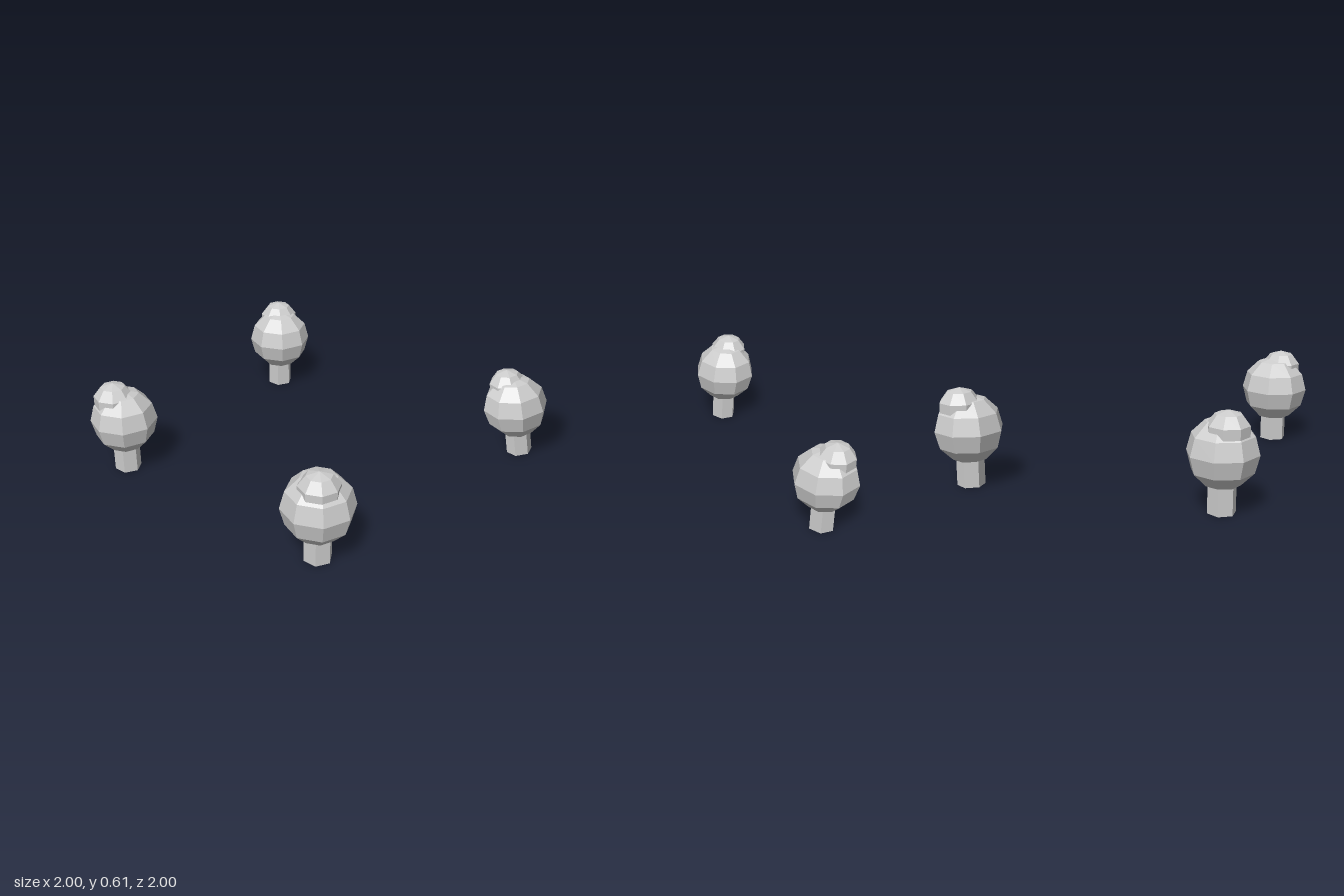
import * as THREE from 'three';

const grey = new THREE.MeshStandardMaterial({ color: 0xcccccc, flatShading: true });
grey.name = 'lightGrey';

function part(name, geometry, x, y, z) {
  const mesh = new THREE.Mesh(geometry, grey);
  mesh.name = name;
  mesh.position.set(x, y, z);
  return mesh;
}

// One tree: hexagonal trunk, round crown and a smaller tuft shifted to the outer corner
function makeTree({ name, x, z, crownRadius, trunkRadius, tuftX, tuftZ }) {
  const tree = new THREE.Group();
  tree.name = name;

  // trunk with a shallow recess in its underside
  const inner = trunkRadius * 0.66;
  const profile = [
    [0, 0.04], [inner, 0.04], [inner, 0], [trunkRadius, 0], [trunkRadius, 0.24],
  ].map(([r, y]) => new THREE.Vector2(r, y));
  tree.add(part('trunk', new THREE.LatheGeometry(profile, 6), x, 0, z));

  tree.add(part('crown', new THREE.SphereGeometry(crownRadius, 8, 6), x, 0.355, z));

  const tuft = new THREE.SphereGeometry(0.131, 8, 5).scale(1, 0.93, 1);
  tree.add(part('tuft', tuft, tuftX, 0.493, tuftZ));
  return tree;
}

export function createModel() {
  const model = new THREE.Group();
  model.name = 'threeTrees';
  const trees = [
    { name: 'frontRightTree', x: -0.78, z: 0.775, crownRadius: 0.22, trunkRadius: 0.088, tuftX: -0.816, tuftZ: 0.808 },
    { name: 'backRightTree', x: -0.78, z: -0.788, crownRadius: 0.212, trunkRadius: 0.085, tuftX: -0.816, tuftZ: -0.825 },
    { name: 'backLeftTree', x: 0.782, z: -0.788, crownRadius: 0.213, trunkRadius: 0.085, tuftX: 0.816, tuftZ: -0.825 },
  ];
  trees.forEach((t) => model.add(makeTree(t)));
  return model;
}
